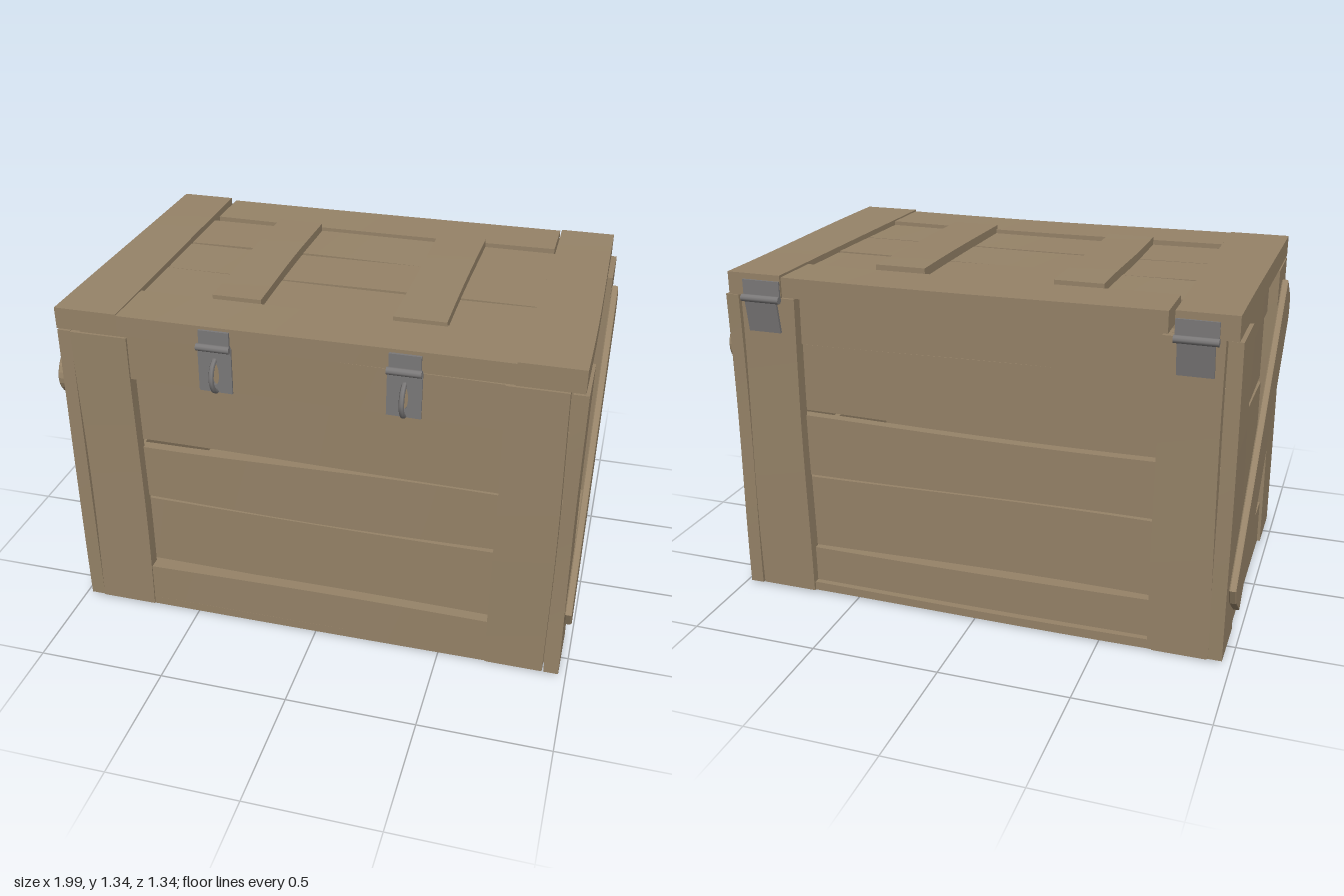
import * as THREE from 'three';

// Small seeded generator so every board warps a little differently
let seed = 7;
const rnd = () => {
  seed = (seed * 16807) % 2147483647;
  return seed / 2147483647;
};

export function createModel() {
  seed = 7;
  const wood = new THREE.MeshStandardMaterial({ color: 0x968368 });
  const metal = new THREE.MeshStandardMaterial({ color: 0x7b7979 });
  const crate = new THREE.Group();
  crate.name = 'woodenCrate';

  const add = (parent, name, geo, mat, x = 0, y = 0, z = 0) => {
    const mesh = new THREE.Mesh(geo, mat);
    mesh.name = name;
    mesh.position.set(x, y, z);
    parent.add(mesh);
    return mesh;
  };
  const group = (name) => {
    const g = new THREE.Group();
    g.name = name;
    crate.add(g);
    return g;
  };

  // A hand-cut board between two corners; its long edges wander slightly
  const board = (parent, name, min, max, warp = 0.005) => {
    const size = max.map((v, i) => v - min[i]);
    const long = size.indexOf(Math.max(...size));
    const thin = size.indexOf(Math.min(...size));
    const seg = [1, 1, 1];
    seg[long] = 10;
    const geo = new THREE.BoxGeometry(...size, ...seg);
    const phase = Array.from({ length: 6 }, () => rnd() * 6.28);
    const freq = 2.5 + rnd() * 3;
    const p = geo.attributes.position;
    for (let i = 0; i < p.count; i++) {
      const v = [p.getX(i), p.getY(i), p.getZ(i)];
      const t = v[long] / size[long];
      const moved = v.map((c, k) => {
        const side = k * 2 + (c > 0 ? 1 : 0);
        if (k === long) return c;
        const amp = k === thin ? 0.002 : warp;
        return c + amp * Math.sin(t * freq + phase[side]);
      });
      p.setXYZ(i, ...moved);
    }
    geo.computeVertexNormals();
    return add(parent, name, geo, wood, ...min.map((v, i) => (v + max[i]) / 2));
  };

  // Plank rows shared by all four walls: bottom and top heights
  const rows = [[0.014, 0.198], [0.202, 0.503], [0.515, 0.752], [0.77, 1.05], [1.054, 1.232]];

  // Front and back walls with corner posts; the rails stand out furthest
  const walls = [
    ['front', 1, 0.613, [0.045, 0, 0.006, 0, 0.042]],
    ['back', -1, 0.627, [0.02, 0, 0.006, 0, 0.01]],
  ];
  for (const [name, s, face, out] of walls) {
    const wall = group(name + 'Wall');
    const zs = (a, b) => (s > 0 ? [a, b] : [-b, -a]);
    rows.forEach(([lo, hi], i) => {
      const [z0, z1] = zs(face - 0.085, face - 0.052 + out[i]);
      board(wall, name + 'Plank', [-0.88, lo, z0], [0.88, hi, z1], 0.008);
    });
    for (const [x0, x1] of [[-0.912, -0.69], [0.69, 0.912]]) {
      const [z0, z1] = zs(face - 0.052, face);
      board(wall, name + 'Post', [x0, 0.012, z0], [x1, 1.232, z1], 0.004);
    }
  }

  // Side walls with posts and a diagonal brace
  const brace = new THREE.Shape();
  brace.moveTo(-0.44, 0.125);
  [[0.05, 0.51], [0.58, 0.96]].forEach(([u, v]) => brace.lineTo(u, v));
  brace.quadraticCurveTo(0.63, 1.02, 0.57, 1.09);
  [[0.455, 1.175], [-0.583, 0.28], [-0.555, 0.215]].forEach(([u, v]) => brace.lineTo(u, v));
  brace.closePath();
  const braceGeo = new THREE.ExtrudeGeometry(brace, {
    depth: 0.018, bevelEnabled: true, bevelThickness: 0.004, bevelSize: 0.003,
    bevelOffset: -0.003, bevelSegments: 1, curveSegments: 6,
  });
  braceGeo.rotateY(Math.PI / 2);
  const sideOut = [0.044, 0, 0.006, 0, 0.01];
  for (const [name, s] of [['left', 1], ['right', -1]]) {
    const wall = group(name + 'Wall');
    const xs = (a, b) => (s > 0 ? [a, b] : [-b, -a]);
    rows.forEach(([lo, hi], i) => {
      const [x0, x1] = xs(0.883, 0.917 + sideOut[i]);
      board(wall, name + 'Plank', [x0, lo, -0.572], [x1, hi, 0.562], 0.006);
    });
    for (const [z0, z1] of [[-0.63, -0.395], [0.37, 0.61]]) {
      const [x0, x1] = xs(0.917, 0.97);
      board(wall, name + 'Post', [x0, 0.012, z0], [x1, 1.232, z1], 0.004);
    }
    const diagonal = add(wall, name + 'DiagonalBrace', braceGeo, wood, s * 0.974, 0, 0);
    if (s < 0) diagonal.rotation.y = Math.PI;
  }

  // Floor: lengthwise planks out to the wall faces, with shallow end battens
  const floor = group('floor');
  for (let i = 0; i < 5; i++) {
    const z = -0.62 + i * 0.246;
    board(floor, 'floorPlank', [-0.905, 0.009, z], [0.905, 0.045, z + 0.24], 0.004);
  }
  board(floor, 'floorBatten', [-0.91, 0.002, -0.615], [-0.7, 0.02, 0.605], 0.005);
  board(floor, 'floorBatten', [0.7, 0.006, -0.615], [0.91, 0.02, 0.605], 0.005);

  // Lid: frame, slightly sunken planks and two cross slats
  const lid = group('lid');
  board(lid, 'lidEndBoard', [-0.962, 1.238, -0.64], [-0.732, 1.324, 0.612], 0.006);
  board(lid, 'lidEndBoard', [0.73, 1.238, -0.64], [0.955, 1.324, 0.612], 0.006);
  board(lid, 'lidBackRail', [-0.715, 1.24, -0.638], [0.727, 1.318, -0.425], 0.005);
  board(lid, 'lidFrontRail', [-0.725, 1.24, 0.38], [0.727, 1.318, 0.61], 0.005);
  for (const [z0, z1] of [[-0.422, -0.157], [-0.149, 0.108], [0.118, 0.377]]) {
    board(lid, 'lidPlank', [-0.74, 1.248, z0], [0.74, 1.301, z1], 0.004);
  }
  board(lid, 'lidSlat', [-0.442, 1.3, -0.42], [-0.255, 1.334, 0.378], 0.003);
  board(lid, 'lidSlat', [0.248, 1.3, -0.42], [0.445, 1.334, 0.388], 0.003);

  // Front latches: lid strap, slotted plate, barrel and staple
  const plateShape = new THREE.Shape();
  plateShape.moveTo(-0.064, 1.066);
  [[0.062, 1.064], [0.064, 1.245], [-0.062, 1.245]].forEach(([x, y]) => plateShape.lineTo(x, y));
  plateShape.closePath();
  const slot = new THREE.Path();
  slot.absellipse(0, 1.14, 0.014, 0.045, 0, Math.PI * 2);
  plateShape.holes.push(slot);
  const plateGeo = new THREE.ExtrudeGeometry(plateShape, { depth: 0.008, bevelEnabled: false });
  const stapleGeo = new THREE.TubeGeometry(new THREE.CatmullRomCurve3([
    [0, 1.195, 0.618], [0, 1.175, 0.65], [0, 1.13, 0.665], [0, 1.09, 0.65], [0, 1.068, 0.622],
  ].map((v) => new THREE.Vector3(...v))), 14, 0.01, 6);
  const barrelGeo = new THREE.CylinderGeometry(0.014, 0.014, 0.125, 10).rotateZ(Math.PI / 2);
  for (const x of [-0.35, 0.345]) {
    const latch = group('latch');
    latch.position.x = x;
    add(latch, 'latchPlate', plateGeo, metal, 0, 0, 0.615);
    add(latch, 'latchStrap', new THREE.BoxGeometry(0.115, 0.064, 0.01), metal, 0, 1.274, 0.616);
    add(latch, 'latchBarrel', barrelGeo, metal, 0, 1.245, 0.631);
    add(latch, 'latchStaple', stapleGeo, metal);
  }

  // Back hinges; the lower leaf hangs inwards from the barrel
  for (const x of [-0.815, 0.81]) {
    const hinge = group('hinge');
    hinge.position.x = x;
    add(hinge, 'hingeLidLeaf', new THREE.BoxGeometry(0.15, 0.064, 0.01), metal, 0, 1.268, -0.643);
    const leaf = add(hinge, 'hingeLowerLeaf', new THREE.BoxGeometry(0.13, 0.135, 0.01), metal, 0, 1.168, -0.646);
    leaf.rotation.x = -0.16;
    add(hinge, 'hingeBarrel', new THREE.CylinderGeometry(0.014, 0.014, 0.155, 10).rotateZ(Math.PI / 2),
      metal, 0, 1.232, -0.655);
  }
  return crate;
}
